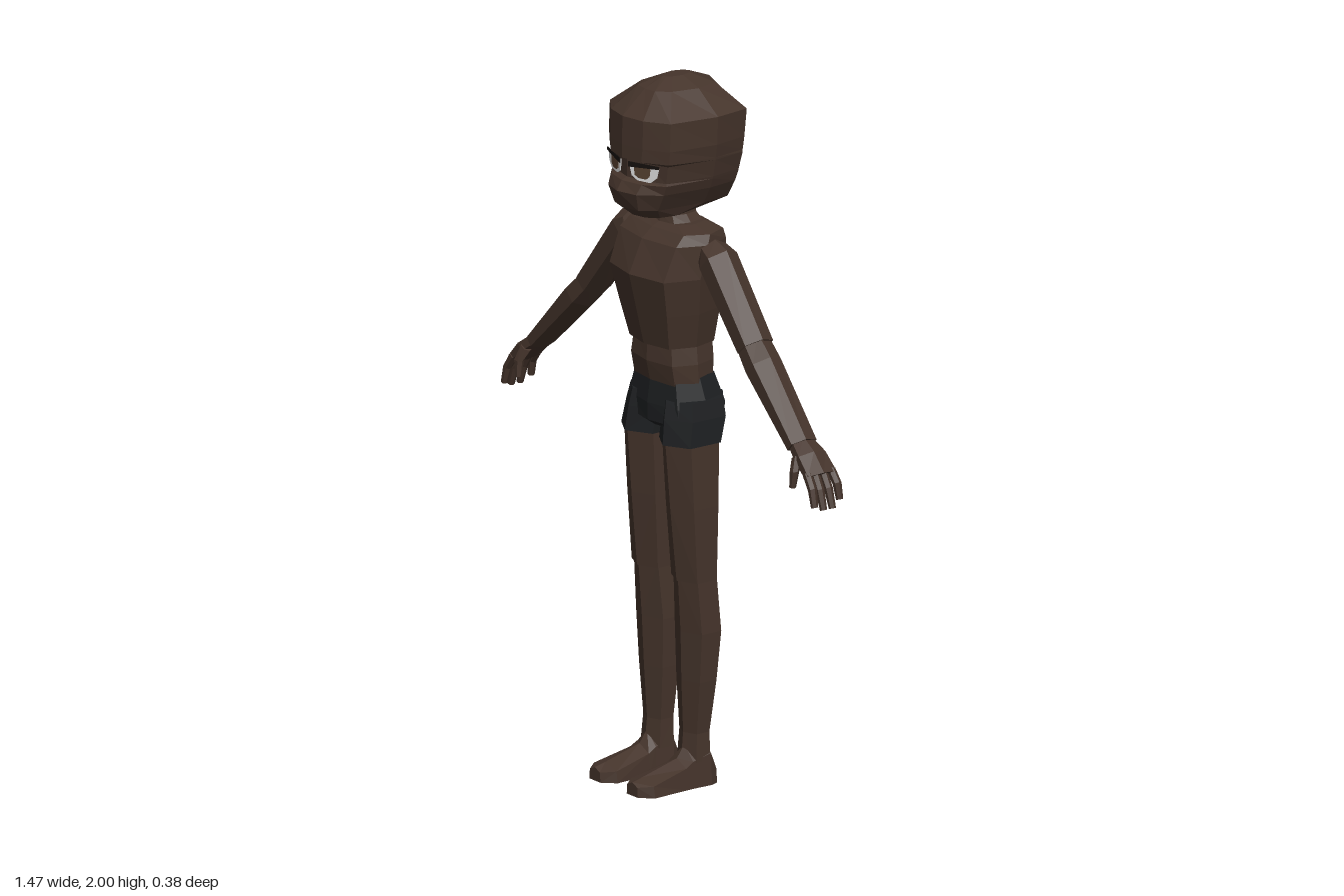
import * as THREE from 'three';

const mat = (name, color) => Object.assign(new THREE.MeshStandardMaterial({ color }), { name });

// Faceted skin over a list of rings of [x, y, z] points, capped at both ends.
function loft(rings) {
  const tris = [], n = rings[0].length;
  const mid = (r) => [0, 1, 2].map((k) => r.reduce((s, p) => s + p[k], 0) / n);
  for (let i = 0; i < rings.length - 1; i++) {
    for (let j = 0; j < n; j++) {
      const k = (j + 1) % n;
      const a = rings[i][j], b = rings[i][k], c = rings[i + 1][k], d = rings[i + 1][j];
      tris.push([a, b, c], [a, c, d]);
    }
  }
  const first = rings[0], last = rings[rings.length - 1], m0 = mid(first), m1 = mid(last);
  for (let j = 0; j < n; j++) {
    const k = (j + 1) % n;
    tris.push([m0, first[k], first[j]], [m1, last[j], last[k]]);
  }
  // Turn the faces outward whichever way the rings run
  let volume = 0;
  for (const [a, b, c] of tris) {
    volume += a[0] * (b[1] * c[2] - b[2] * c[1]) + a[1] * (b[2] * c[0] - b[0] * c[2]) + a[2] * (b[0] * c[1] - b[1] * c[0]);
  }
  const pos = tris.flatMap(([a, b, c]) => (volume < 0 ? [a, c, b] : [a, b, c])).flat();
  const g = new THREE.BufferGeometry();
  g.setAttribute('position', new THREE.Float32BufferAttribute(pos, 3));
  g.computeVertexNormals();
  return g;
}

// Full level ring from the half outline [x, z], front centre to back centre
const mirrorRing = (y, half) => [
  ...half.map(([x, z]) => [x, y, z]),
  ...half.slice(1, -1).reverse().map(([x, z]) => [-x, y, z]),
];

// Eight-sided body ring: height, half width, front z, back z
const bodyRing = ([y, w, f, b]) => {
  const s = (f - b) * 0.1;
  return mirrorRing(y, [[0, f], [w * 0.8, f - s], [w, (f + b) / 2], [w * 0.8, b + s], [0, b]]);
};

// Six-sided leg ring with a ridge in front and behind
const legRing = ([y, x, w, f, b]) => {
  const s = (f - b) * 0.22;
  return [[x, y, f], [x + w, y, f - s], [x + w * 0.95, y, b + s], [x, y, b], [x - w * 0.95, y, b + s], [x - w, y, f - s]];
};

// Six-sided arm ring: centre, downward angle in degrees, half thickness, half depth
const armRing = ([x, y, z, deg, t, d]) => {
  const a = (deg * Math.PI) / 180;
  return [0, 1, 2, 3, 4, 5].map((i) => {
    const q = (i * Math.PI) / 3, u = Math.cos(q) * t, v = (Math.sin(q) / 0.866) * d;
    return [x + Math.sin(a) * u, y + Math.cos(a) * u, z + v];
  });
};

export function createModel() {
  const model = new THREE.Group();
  const skin = mat('skin', 0x45342b);
  const cloth = mat('shorts cloth', 0x1d1f21);
  const white = mat('eye white', 0xeeeeee);
  const brown = mat('iris brown', 0x5a4433);
  const dark = mat('lash dark', 0x17120f);

  const add = (parent, name, geometry, material) => {
    const m = new THREE.Mesh(geometry, material);
    m.name = name;
    parent.add(m);
    return m;
  };

  // Head: y, centre front z, cheek [x, z], corner [x, z], side [x, z], back corner [x, z], back z
  const headRings = [
    [2.0, 0.03, [0.01, 0.025], [0.02, 0.01], [0.025, -0.02], [0.015, -0.05], -0.06],
    [1.975, 0.09, [0.04, 0.085], [0.07, 0.05], [0.085, -0.03], [0.065, -0.1], -0.125],
    [1.91, 0.165, [0.075, 0.15], [0.142, 0.105], [0.161, -0.04], [0.142, -0.15], -0.19],
    [1.83, 0.167, [0.075, 0.152], [0.142, 0.108], [0.157, -0.04], [0.135, -0.147], -0.183],
    [1.792, 0.167, [0.07, 0.153], [0.138, 0.108], [0.15, -0.04], [0.13, -0.145], -0.178],
    [1.785, 0.15, [0.07, 0.134], [0.13, 0.106], [0.149, -0.04], [0.13, -0.145], -0.177],
    [1.735, 0.15, [0.07, 0.134], [0.122, 0.106], [0.138, -0.04], [0.118, -0.14], -0.17],
    [1.728, 0.168, [0.07, 0.152], [0.125, 0.108], [0.136, -0.04], [0.116, -0.14], -0.169],
    [1.7, 0.184, [0.065, 0.166], [0.114, 0.108], [0.125, -0.04], [0.108, -0.135], -0.164],
    [1.65, 0.162, [0.055, 0.152], [0.086, 0.108], [0.095, -0.04], [0.08, -0.13], -0.152],
    [1.623, 0.13, [0.045, 0.12], [0.07, 0.09], [0.078, 0.04], [0.06, -0.02], -0.03],
  ];
  add(model, 'head', loft(headRings.map(([y, f, a, b, c, d, k]) => mirrorRing(y, [[0, f], a, b, c, d, [0, k]]))), skin);

  // Neck and torso
  add(model, 'neck', loft([[1.66, 0.045, 0.035, -0.06], [1.61, 0.048, 0.035, -0.065], [1.58, 0.075, 0.045, -0.08]].map(bodyRing)), skin);
  add(model, 'chest', loft([
    [1.59, 0.085, 0.04, -0.075], [1.578, 0.155, 0.065, -0.1], [1.55, 0.163, 0.1, -0.11], [1.455, 0.157, 0.143, -0.11],
    [1.35, 0.138, 0.118, -0.105], [1.25, 0.115, 0.094, -0.095],
  ].map(bodyRing)), skin);
  add(model, 'abdomen', loft([[1.27, 0.108, 0.08, -0.09], [1.2, 0.119, 0.085, -0.09], [1.14, 0.118, 0.072, -0.085]].map(bodyRing)), skin);
  add(model, 'shorts', loft([
    [1.163, 0.115, 0.07, -0.092], [1.08, 0.142, 0.082, -0.118], [1.03, 0.15, 0.08, -0.105], [1.012, 0.12, 0.055, -0.075],
  ].map(bodyRing)), cloth);

  // Flat outline in the face plane of an eye
  const plate = (pts) => new THREE.ExtrudeGeometry(
    new THREE.Shape(pts.map(([x, y]) => new THREE.Vector2(x, y))), { depth: 0.003, bevelEnabled: false });
  const flip = (pts, s) => (s > 0 ? pts : pts.map(([x, y]) => [-x, y]).reverse());

  for (const s of [1, -1]) {
    const label = s > 0 ? 'left' : 'right';
    const side = new THREE.Group();
    side.name = label + 'Side';
    model.add(side);
    const limb = (name, rings, ringOf, material = skin) =>
      add(side, label + name, loft(rings.map(ringOf).map((r) => r.map(([x, y, z]) => [x * s, y, z]))), material);

    // Eye
    const eye = new THREE.Group();
    eye.name = label + 'Eye';
    eye.position.set(0.065 * s, 1.76, 0.14);
    eye.rotation.y = 0.29 * s;
    side.add(eye);
    const white2d = [[-0.046, 0.008], [-0.04, -0.014], [-0.02, -0.025], [0.025, -0.025], [0.046, -0.008], [0.053, 0.02], [-0.046, 0.02]];
    const iris2d = [[-0.032, 0.022], [-0.028, -0.01], [-0.015, -0.017], [0.01, -0.017], [0.022, -0.008], [0.026, 0.022]];
    const lash2d = [[-0.05, 0.01], [0.054, 0.019], [0.056, 0.027], [-0.05, 0.025]];
    [['EyeWhite', white2d, white], ['Iris', iris2d, brown], ['Lash', lash2d, dark]].forEach(([name, pts, m], i) => {
      add(eye, label + name, plate(flip(pts, s)), m).position.z = i * 0.002;
    });

    // Leg: y, centre x, half width, front z, back z
    limb('ShortsLeg', [[1.1, 0.078, 0.065, 0.075, -0.115], [1.05, 0.083, 0.071, 0.085, -0.118], [0.98, 0.088, 0.073, 0.094, -0.093]], legRing, cloth);
    limb('Thigh', [[1.0, 0.088, 0.068, 0.086, -0.088], [0.8, 0.09, 0.066, 0.07, -0.08], [0.588, 0.092, 0.061, 0.05, -0.07]], legRing);
    limb('Shin', [[0.605, 0.092, 0.056, 0.046, -0.072], [0.44, 0.09, 0.063, 0.035, -0.085], [0.3, 0.087, 0.055, 0.03, -0.073],
      [0.15, 0.084, 0.041, 0.022, -0.055], [0.07, 0.085, 0.045, 0.03, -0.058]], legRing);

    // Foot: z, half width, side height, ridge height
    limb('Foot', [[-0.064, 0.036, 0.04, 0.06], [-0.04, 0.046, 0.09, 0.12], [0.02, 0.046, 0.075, 0.115], [0.045, 0.048, 0.06, 0.08],
      [0.16, 0.058, 0.032, 0.047], [0.195, 0.026, 0.028, 0.038]],
    ([z, w, h, r]) => [[0.087 - w, 0, z], [0.087 + w, 0, z], [0.087 + w * 0.9, h, z], [0.087, r, z], [0.087 - w * 0.9, h, z]]);

    // Arm
    limb('UpperArm', [[0.176, 1.533, -0.01, 18, 0.043, 0.042], [0.203, 1.517, -0.01, 46, 0.055, 0.049], [0.376, 1.314, -0.01, 49, 0.046, 0.047]], armRing);
    limb('Forearm', [[0.358, 1.33, -0.01, 48, 0.04, 0.043], [0.42, 1.272, -0.005, 45, 0.046, 0.047], [0.607, 1.094, 0, 42, 0.028, 0.042]], armRing);

    // Hand with four curled fingers and a thumb
    limb('Palm', [[0.598, 1.102, 0, 42, 0.023, 0.034], [0.645, 1.07, 0, 42, 0.026, 0.045], [0.69, 1.028, -0.003, 55, 0.018, 0.048]], armRing);
    [-0.042, -0.014, 0.013, 0.037].forEach((z, i) => {
      const drop = [0.018, 0, 0, 0.01][i];
      limb('Finger' + (i + 1), [[0.682, 1.036, z, 52, 0.014, 0.011], [0.709, 0.993 + drop / 2, z * 1.05, 62, 0.012, 0.011],
        [0.727 - drop / 2, 0.94 + drop, z * 1.1, 72, 0.009, 0.009]], armRing);
    });
    limb('Thumb', [[0.63, 1.073, 0.032, 60, 0.018, 0.014], [0.641, 1.035, 0.05, 80, 0.015, 0.011], [0.638, 0.99, 0.054, 92, 0.01, 0.008]], armRing);
  }
  return model;
}
